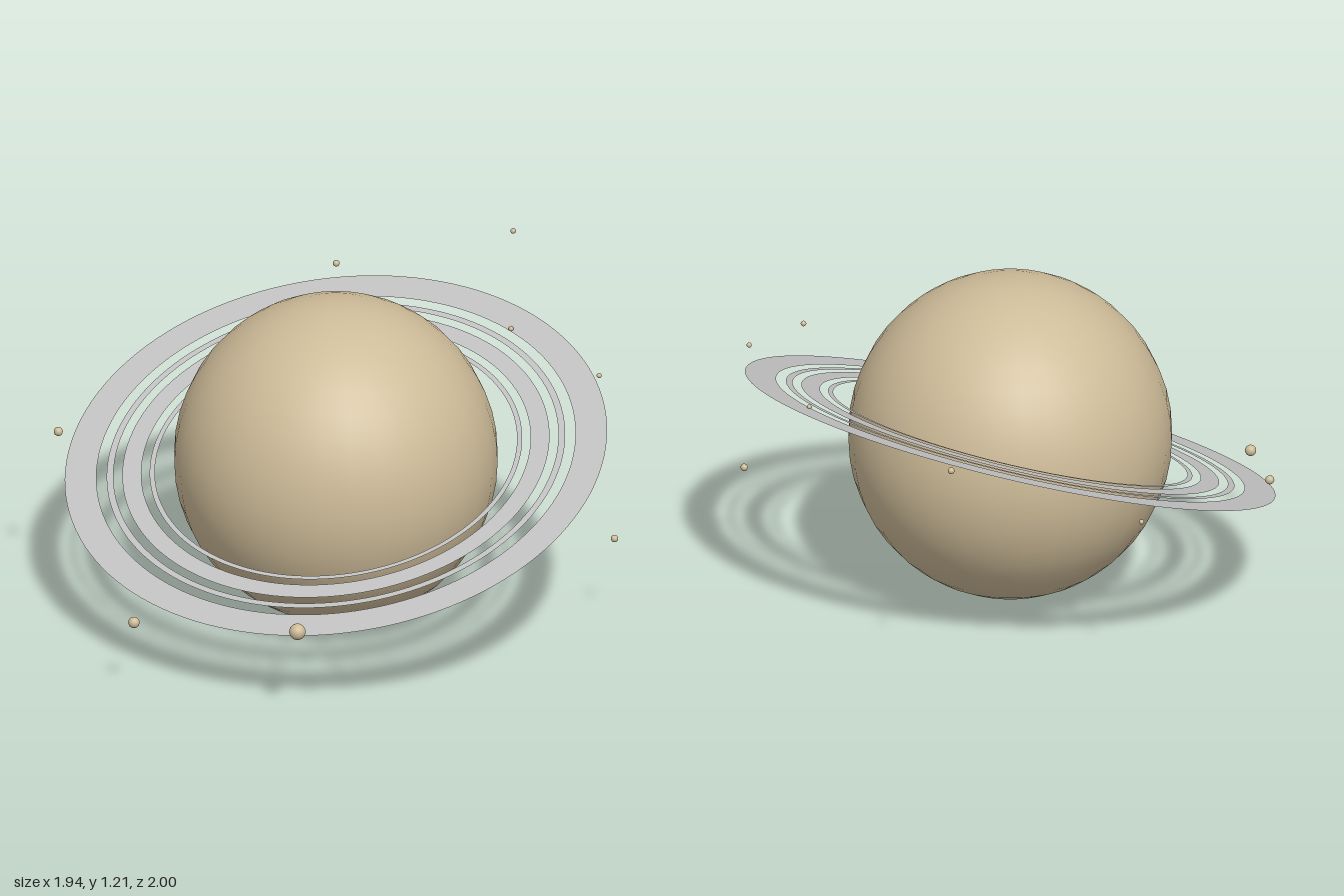
import * as THREE from 'three';

export function createModel() {
  const model = new THREE.Group();
  model.name = 'ringedPlanet';
  const sand = new THREE.MeshStandardMaterial({ color: 0xcdbb98 });
  sand.name = 'sand';
  const ringGrey = new THREE.MeshStandardMaterial({ color: 0xc2c2c2, side: THREE.DoubleSide });
  ringGrey.name = 'ringGrey';

  // Smooth, very slightly tall globe
  const globe = new THREE.Mesh(new THREE.SphereGeometry(0.572, 32, 24), sand);
  globe.name = 'planet';
  globe.scale.y = 1.022;
  globe.position.set(0.068, 0.585, 0);
  model.add(globe);

  // Flat concentric bands, tilted together and slightly narrowed in x
  const rings = new THREE.Group();
  rings.name = 'rings';
  rings.position.set(0.068, 0.588, 0);
  rings.rotation.set(0.11, 0, 0.312);
  rings.scale.x = 0.942;
  const bands = [[0.886, 1.003], [0.823, 0.848], [0.72, 0.79], [0.67, 0.689]];
  bands.forEach(([inner, outer], i) => {
    const geometry = new THREE.RingGeometry(inner, outer, 128).rotateX(-Math.PI / 2);
    const band = new THREE.Mesh(geometry, ringGrey);
    band.name = `ringBand${i + 1}`;
    rings.add(band);
  });
  model.add(rings);

  // Small moons: x, y, z, radius
  const moons = [
    [-0.95, 0.27, 0.115, 0.02],
    [-0.645, 0.33, 0.65, 0.029],
    [-0.55, 0.587, -0.787, 0.016],
    [0.75, 0.32, 0.715, 0.013],
    [0.915, 1.2, -0.045, 0.01],
    [0.718, 0.88, -0.785, 0.012],
    [0.82, 0.87, 0.545, 0.009],
    [0.868, 0.852, 0, 0.009],
    [0.068, 0.63, -0.99, 0.009],
  ];
  moons.forEach(([x, y, z, r], i) => {
    const moon = new THREE.Mesh(new THREE.SphereGeometry(r, 20, 14), sand);
    moon.name = `moon${i + 1}`;
    moon.position.set(x, y, z);
    model.add(moon);
  });
  return model;
}
